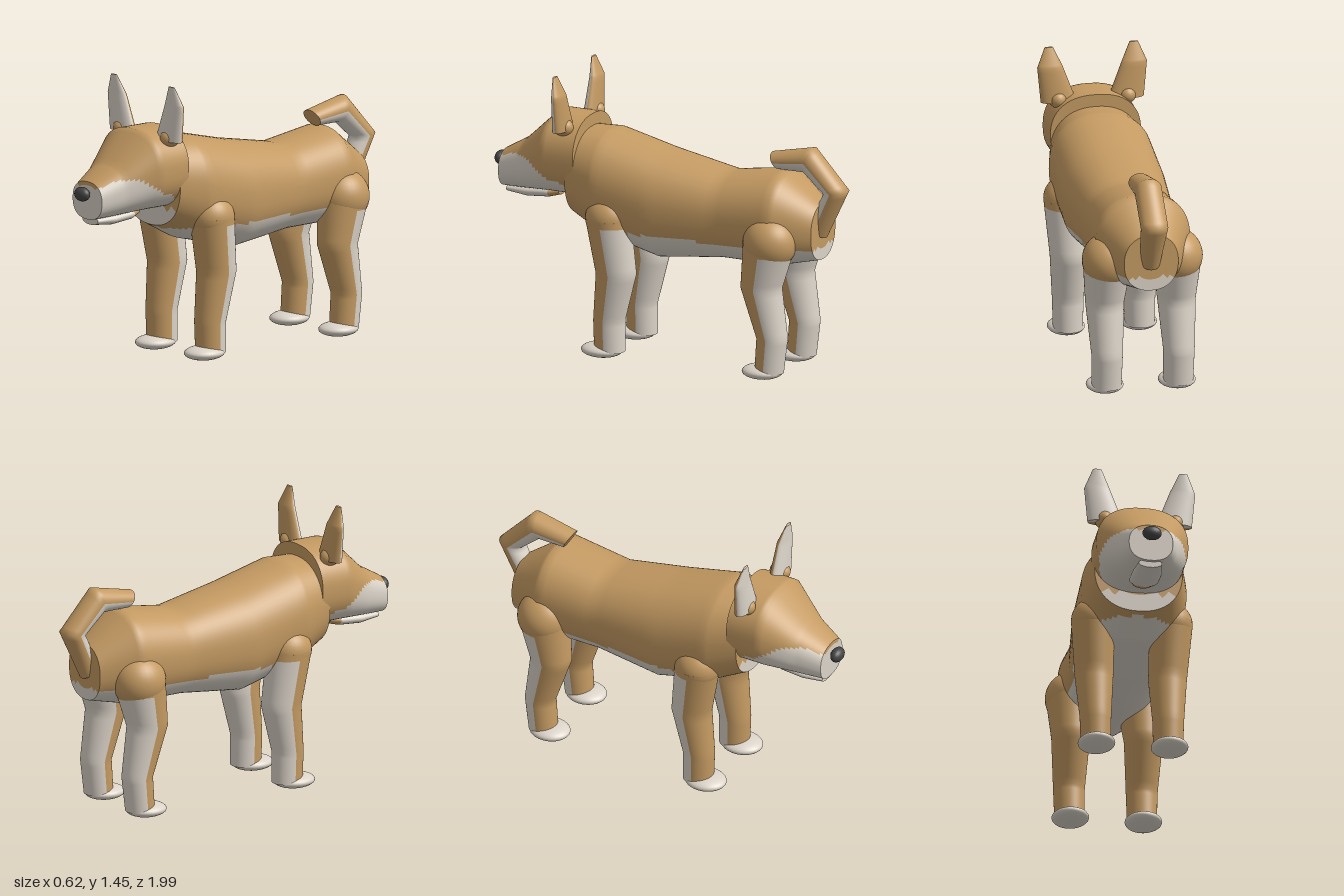
import * as THREE from 'three';

const tan = new THREE.MeshStandardMaterial({ color: 0xc49a62 });
tan.name = 'tanFur';
const cream = new THREE.MeshStandardMaterial({ color: 0xdbd3c8 });
cream.name = 'creamFur';
const dark = new THREE.MeshStandardMaterial({ color: 0x444444 });
dark.name = 'noseDark';

const V = (x, y, z) => new THREE.Vector3(x, y, z);
const SIDES = 64;

// Skin a row of rings {c, u, v}; u x v points along the row.
// isCream(point, sine, cap) picks the colour; cap is -1, 0 or 1.
function loft(name, keys, isCream, { steps = 8, power = 1 } = {}) {
  const pos = [];
  const faces = [[], []];
  const bend = (t) => Math.sign(t) * Math.pow(Math.abs(t), power);

  const strip = (rings, cap) => {
    const base = pos.length / 3;
    const pts = rings.map((r) => Array.from({ length: SIDES }, (_, j) => {
      const a = (j / SIDES) * Math.PI * 2;
      return r.c.clone().addScaledVector(r.u, bend(Math.cos(a))).addScaledVector(r.v, bend(Math.sin(a)));
    }));
    pts.flat().forEach((p) => pos.push(p.x, p.y, p.z));
    for (let i = 0; i < rings.length - 1; i++) {
      for (let j = 0; j < SIDES; j++) {
        const k = (j + 1) % SIDES;
        const mid = V(0, 0, 0).add(pts[i][j]).add(pts[i][k]).add(pts[i + 1][j]).add(pts[i + 1][k]).multiplyScalar(0.25);
        const sine = Math.sin(((j + 0.5) / SIDES) * Math.PI * 2);
        const a = base + i * SIDES + j, b = base + i * SIDES + k;
        faces[isCream(mid, sine, cap) ? 1 : 0].push(a, b, a + SIDES, b, b + SIDES, a + SIDES);
      }
    }
  };

  const rings = [keys[0]];
  for (let i = 1; i < keys.length; i++) {
    for (let s = 1; s <= steps; s++) {
      const mix = (n) => keys[i - 1][n].clone().lerp(keys[i][n], s / steps);
      rings.push({ c: mix('c'), u: mix('u'), v: mix('v') });
    }
  }
  const shrink = (r, t) => ({ c: r.c, u: r.u.clone().multiplyScalar(t), v: r.v.clone().multiplyScalar(t) });
  const scales = [1, 0.8, 0.6, 0.4, 0.2, 0.001];
  strip(rings, 0);
  strip([...scales].reverse().map((t) => shrink(keys[0], t)), -1);
  strip(scales.map((t) => shrink(keys[keys.length - 1], t)), 1);

  const geo = new THREE.BufferGeometry();
  geo.setAttribute('position', new THREE.Float32BufferAttribute(pos, 3));
  geo.setIndex([...faces[0], ...faces[1]]);
  geo.addGroup(0, faces[0].length, 0);
  geo.addGroup(faces[0].length, faces[1].length, 1);
  geo.computeVertexNormals();
  const mesh = new THREE.Mesh(geo, [tan, cream]);
  mesh.name = name;
  return mesh;
}

// Ring across z, from bottom to top height
const slice = ([z, bottom, top, half]) => ({
  c: V(0, (bottom + top) / 2, z), u: V(half, 0, 0), v: V(0, (top - bottom) / 2, 0),
});
// Ring across y
const level = (x, y, z, rx, rz) => ({ c: V(x, y, z), u: V(rx, 0, 0), v: V(0, 0, rz) });

function ellipsoid(name, material, center, radii) {
  const mesh = new THREE.Mesh(new THREE.SphereGeometry(1, 32, 20), material);
  mesh.position.set(...center);
  mesh.scale.set(...radii);
  mesh.name = name;
  return mesh;
}

// Height of a polyline of [z, y] points, z rising
function heightAt(line, z) {
  for (let i = 1; i < line.length; i++) {
    const [z0, y0] = line[i - 1], [z1, y1] = line[i];
    if (z <= z1) return y0 + ((y1 - y0) * Math.max(0, z - z0)) / (z1 - z0);
  }
  return line[line.length - 1][1];
}

export function createModel() {
  const model = new THREE.Group();
  model.name = 'dog';

  // Body with pale belly and chest
  model.add(loft('body', [
    [-0.85, 0.615, 0.91, 0.14],
    [-0.65, 0.57, 1.06, 0.245],
    [-0.33, 0.57, 1.015, 0.235],
    [0.02, 0.53, 1.08, 0.272],
    [0.33, 0.61, 1.155, 0.27],
    [0.5, 0.7, 1.15, 0.225],
  ].map(slice), (p, s, cap) => p.y < (cap === 1 ? 0.8 : 0.685), { power: 0.88 }));

  // Head with pale cheeks and muzzle
  const cheekLine = [[0.48, 0.82], [0.52, 0.885], [0.6, 0.905], [0.68, 0.955], [0.75, 0.995], [0.85, 0.985], [0.93, 0.955]];
  model.add(loft('head', [
    [0.45, 0.8, 1.215, 0.235],
    [0.63, 0.8, 1.215, 0.235],
    [0.8, 0.79, 1.055, 0.155],
    [0.93, 0.785, 0.98, 0.112],
  ].map(slice), (p, s, cap) => cap !== -1 && p.y < heightAt(cheekLine, p.z), { power: 0.84 }));

  // Lower jaw
  model.add(loft('lowerJaw', [
    [0.62, 0.77, 0.82, 0.05],
    [0.68, 0.753, 0.82, 0.075],
    [0.8, 0.743, 0.81, 0.075],
    [0.91, 0.755, 0.8, 0.06],
  ].map(slice), (p) => p.z > 0.67));

  model.add(ellipsoid('nose', dark, [0, 0.92, 0.965], [0.049, 0.037, 0.032]));

  // Curled tail, pale on the inner side: [outer z, outer y, inner z, inner y, half width]
  model.add(loft('tail', [
    [-0.87, 0.73, -0.77, 0.78, 0.05],
    [-0.99, 0.985, -0.86, 0.965, 0.07],
    [-0.8, 1.195, -0.75, 1.06, 0.07],
    [-0.565, 1.145, -0.61, 1.06, 0.06],
  ].map(([oz, oy, iz, iy, half]) => ({
    c: V(0, (oy + iy) / 2, (oz + iz) / 2),
    u: V(half, 0, 0),
    v: V(0, (oy - iy) / 2, (oz - iz) / 2),
  })), (p, s, cap) => cap === 0 && s < -0.05));

  for (const side of [1, -1]) {
    const label = side > 0 ? 'left' : 'right';

    // Ears: pale in front, tan behind
    model.add(loft(label + 'Ear', [
      level(side * 0.22, 1.45, 0.555, 0.022, 0.007),
      level(side * 0.218, 1.35, 0.535, 0.066, 0.028),
      level(side * 0.175, 1.165, 0.532, 0.092, 0.04),
    ], (p, s) => s > 0));
    model.add(ellipsoid(label + 'EarBase', tan, [side * 0.18, 1.18, 0.53], [0.047, 0.047, 0.055]));

    // Legs: tan in front, pale behind, with rounded joints and paws
    const backIsCream = (limit) => (p, s) => s < 0 && p.y < limit;
    model.add(loft(label + 'FrontLeg', [
      level(side * 0.2, 0.74, 0.265, 0.11, 0.118),
      level(side * 0.188, 0.45, 0.225, 0.098, 0.105),
      level(side * 0.186, 0.2, 0.265, 0.08, 0.082),
      level(side * 0.186, 0.04, 0.262, 0.076, 0.08),
    ], backIsCream(0.7)));
    model.add(ellipsoid(label + 'Shoulder', tan, [side * 0.198, 0.74, 0.265], [0.112, 0.115, 0.119]));
    model.add(ellipsoid(label + 'FrontPaw', cream, [side * 0.187, 0.041, 0.305], [0.095, 0.037, 0.11]));

    model.add(loft(label + 'HindLeg', [
      level(side * 0.18, 0.72, -0.638, 0.125, 0.138),
      level(side * 0.186, 0.48, -0.594, 0.098, 0.108),
      level(side * 0.186, 0.22, -0.655, 0.08, 0.08),
      level(side * 0.186, 0.04, -0.638, 0.076, 0.075),
    ], backIsCream(0.66)));
    model.add(ellipsoid(label + 'Hip', tan, [side * 0.178, 0.72, -0.638], [0.132, 0.138, 0.14]));
    model.add(ellipsoid(label + 'HindPaw', cream, [side * 0.187, 0.041, -0.6], [0.095, 0.037, 0.107]));
  }
  return model;
}
